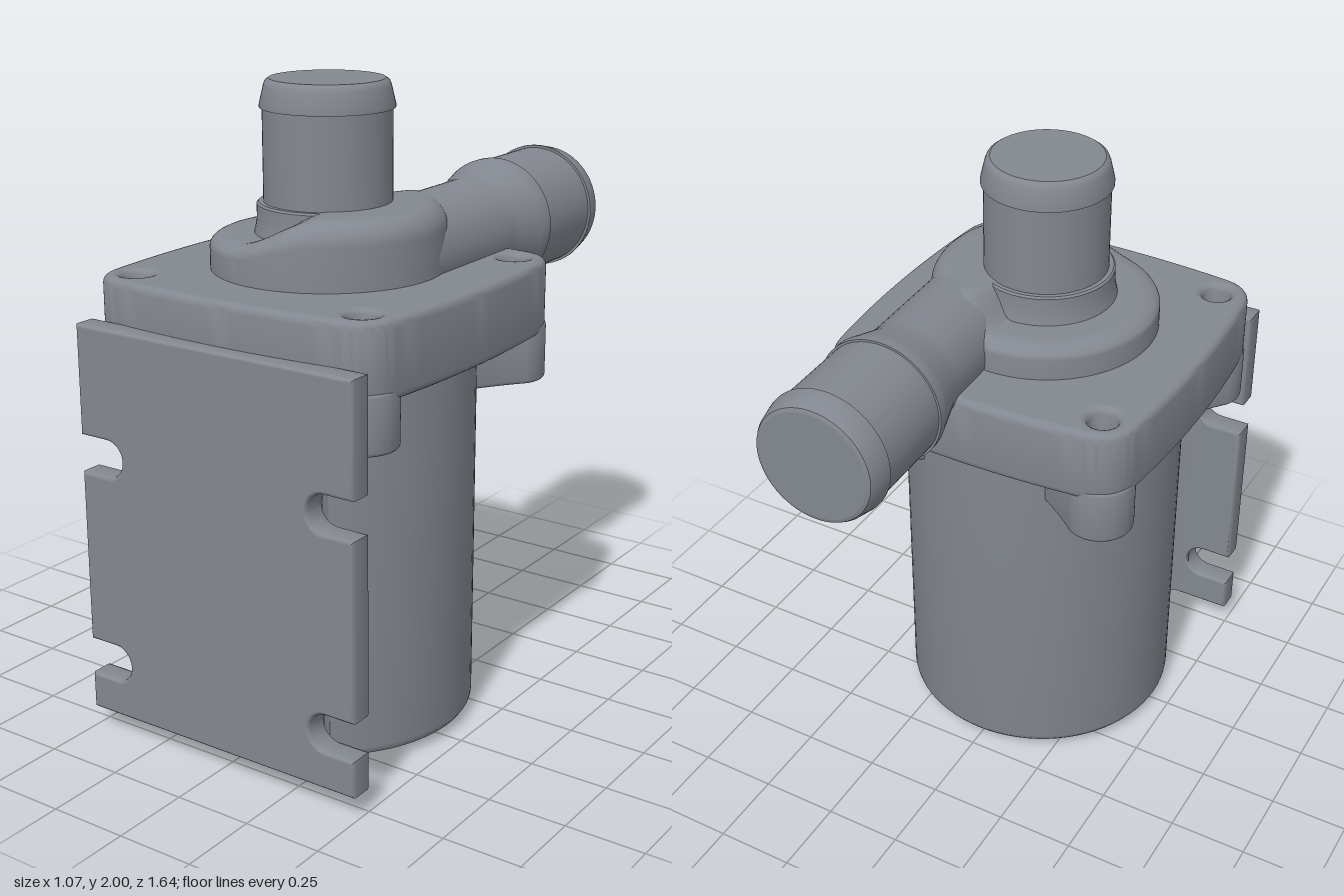
import * as THREE from 'three';
import { toCreasedNormals } from 'three/addons/utils/BufferGeometryUtils.js';

const CZ = 0.238; // z of the main vertical axis
const BOLT = 0.405; // bolt offset from the axis in x and z
const material = new THREE.MeshStandardMaterial({ color: 0x83878f });

function part(name, geometry, x = 0, y = 0, z = 0) {
  const mesh = new THREE.Mesh(geometry, material);
  mesh.name = name;
  mesh.position.set(x, y, z);
  return mesh;
}

// Smooth rounded edges, but keep faces square to the given axis (1 = y, 2 = z) evenly flat
function finish(source, axis) {
  const geometry = toCreasedNormals(source, 0.6);
  const p = geometry.attributes.position, n = geometry.attributes.normal;
  for (let i = 0; i < p.count; i += 3) {
    const h = [0, 1, 2].map((k) => p.getComponent(i + k, axis));
    if (Math.abs(h[0] - h[1]) + Math.abs(h[0] - h[2]) > 1e-6) continue;
    const sign = Math.sign([0, 1, 2].reduce((sum, k) => sum + n.getComponent(i + k, axis), 0));
    for (let k = 0; k < 3; k++) {
      n.setXYZ(i + k, 0, 0, 0);
      n.setComponent(i + k, axis, sign);
    }
  }
  return geometry;
}

// Surface of revolution from [radius, height] pairs
function lathe(pairs, segments = 64, start = 0) {
  return finish(new THREE.LatheGeometry(pairs.map(([r, y]) => new THREE.Vector2(r, y)), segments, start), 1);
}

// Extrusion that keeps the outline size at mid height; the bevel cuts inward
function slab(shape, depth, bevel, segments = 4) {
  const geometry = new THREE.ExtrudeGeometry(shape, {
    depth: depth - 2 * bevel, curveSegments: 16, bevelEnabled: bevel > 0,
    bevelSize: bevel, bevelThickness: bevel, bevelOffset: -bevel, bevelSegments: segments,
  });
  return finish(geometry.translate(0, 0, bevel), 2);
}

function circlePath(x, y, r, sides = 32) {
  const points = [];
  for (let i = 0; i < sides; i++) {
    const a = (i / sides) * Math.PI * 2;
    points.push(new THREE.Vector2(x + r * Math.cos(a), y + r * Math.sin(a)));
  }
  return new THREE.Path(points);
}

// Rounded square with bulging sides and four bolt holes
function flangeGeometry() {
  const s = new THREE.Shape();
  const e = 0.51, c = 0.4, bulge = 0.555;
  s.moveTo(e, -c);
  s.quadraticCurveTo(bulge, 0, e, c);
  s.bezierCurveTo(0.5, 0.465, 0.465, 0.5, c, e);
  s.quadraticCurveTo(0, bulge, -c, e);
  s.bezierCurveTo(-0.465, 0.5, -0.5, 0.465, -e, c);
  s.quadraticCurveTo(-bulge, 0, -e, -c);
  s.bezierCurveTo(-0.5, -0.465, -0.465, -0.5, -c, -e);
  s.quadraticCurveTo(0, -bulge, c, -e);
  s.bezierCurveTo(0.465, -0.5, 0.5, -0.465, e, -c);
  for (const x of [-BOLT, BOLT]) for (const y of [-BOLT, BOLT]) s.holes.push(circlePath(x, y, 0.045));
  return slab(s, 0.235, 0.025).rotateX(-Math.PI / 2);
}

// Boss around a bolt: round outside, widening towards the body, hexagonal nut pocket
function bossGeometry() {
  const s = new THREE.Shape();
  const a = 1.3;
  s.moveTo(-0.19, -0.14);
  s.quadraticCurveTo(-0.08, -0.11, 0.105 * Math.cos(a), -0.105 * Math.sin(a));
  s.absarc(0, 0, 0.105, -a, a, false);
  s.quadraticCurveTo(-0.08, 0.11, -0.19, 0.14);
  s.closePath();
  s.holes.push(circlePath(0, 0, 0.062, 6));
  return slab(s, 0.18, 0.012, 3).rotateX(-Math.PI / 2);
}

// Front mounting plate with two open slots on each side
function plateGeometry() {
  const s = new THREE.Shape();
  const w = 0.495, r = 0.058, tip = 0.337, slots = [0.245, 0.91];
  s.moveTo(-w, 0.07);
  s.lineTo(w, 0.07);
  for (const y of slots) {
    s.lineTo(w, y - r);
    s.absarc(tip + r, y, r, -Math.PI / 2, Math.PI / 2, true);
    s.lineTo(w, y + r);
  }
  s.lineTo(w, 1.31);
  s.lineTo(-w, 1.31);
  for (const y of [...slots].reverse()) {
    s.lineTo(-w, y + r);
    s.absarc(-tip - r, y, r, Math.PI / 2, -Math.PI / 2, true);
    s.lineTo(-w, y - r);
  }
  s.closePath();
  return slab(s, 0.08, 0.01, 3);
}

// Web between plate and body, flaring into the plate with concave sides
function padGeometry() {
  const s = new THREE.Shape();
  s.moveTo(-0.34, -0.745);
  s.lineTo(0.34, -0.745);
  s.quadraticCurveTo(0.2, -0.72, 0.27, -0.58);
  s.lineTo(-0.27, -0.58);
  s.quadraticCurveTo(-0.2, -0.72, -0.34, -0.745);
  return slab(s, 1.15, 0).rotateX(-Math.PI / 2);
}

// Spiral casing: a low round cap whose height varies around the axis
function voluteGeometry() {
  const profile = [[0.355, 0]];
  for (let i = 0; i <= 8; i++) {
    const a = (i / 8) * Math.PI / 2;
    profile.push([0.285 + 0.07 * Math.cos(a), 0.14 + 0.07 * Math.sin(a)]);
  }
  profile.push([0.15, 0.21], [0, 0.21]);
  const geometry = lathe(profile, 96, Math.PI);
  const p = geometry.attributes.position;
  for (let i = 0; i < p.count; i++) {
    const angle = Math.atan2(p.getX(i), p.getZ(i));
    const rise = THREE.MathUtils.smoothstep(angle, -0.4, 0.6) * (1 - THREE.MathUtils.smoothstep(angle, 2.7, 3.13));
    p.setY(i, p.getY(i) * (0.55 + 0.45 * rise));
  }
  return finish(geometry, 1);
}

export function createModel() {
  const model = new THREE.Group();
  model.name = 'pump';

  // Motor body with rounded foot and a round recess underneath
  model.add(part('motorBody', lathe([
    [0, 0.08], [0.14, 0.08], [0.14, 0.035], [0.145, 0.028], [0.43, 0.028],
    [0.441, 0.032], [0.448, 0.042], [0.45, 0.055], [0.45, 1.25], [0, 1.25],
  ], 80), 0, 0, CZ));

  // Small domed boss with a hexagonal socket under the body
  model.add(part('bottomBoss', lathe([
    [0.05, 0.04], [0.05, 0.005], [0.056, 0], [0.095, 0], [0.11, 0.01], [0.122, 0.04],
  ], 40), 0, 0, 0.56));
  model.add(part('bottomSocket', lathe([[0, 0.026], [0.056, 0.026]], 6), 0, 0, 0.56));

  // Mounting plate and the web joining it to the body
  model.add(part('mountingPlate', plateGeometry(), 0, 0, 0.74));
  model.add(part('mountingPad', padGeometry(), 0, 0.08, 0));

  // Flange with four bolt bosses
  model.add(part('flange', flangeGeometry(), 0, 1.205, CZ));
  for (const sx of [-1, 1]) for (const sz of [-1, 1]) {
    const boss = part('boltBoss', bossGeometry(), sx * BOLT, 1.06, CZ + sz * BOLT);
    boss.rotation.y = Math.atan2(-sz, sx);
    model.add(boss);
  }

  // Spiral casing and collar around the inlet
  model.add(part('volute', voluteGeometry(), 0, 1.43, CZ));
  model.add(part('inletCollar', lathe([
    [0.232, 1.5], [0.218, 1.56], [0.213, 1.59], [0.213, 1.632], [0.207, 1.638], [0, 1.638],
  ]), 0, 0, CZ));

  // Vertical inlet with barbed end
  model.add(part('inletPipe', lathe([
    [0.193, 1.55], [0.193, 1.915], [0.201, 1.915], [0.201, 1.925], [0.188, 1.98],
    [0.183, 1.992], [0.172, 2], [0, 2],
  ]), 0, 0, CZ));

  // Horizontal outlet, widening to a barbed end
  const outlet = part('outletPipe', lathe([
    [0, 0], [0.163, 0], [0.163, 0.52], [0.168, 0.555], [0.195, 0.645], [0.202, 0.67], [0.202, 0.695], [0.195, 0.695],
    [0.195, 0.975], [0.203, 0.975], [0.203, 0.985], [0.191, 1.04], [0.185, 1.051], [0.173, 1.056], [0, 1.056],
  ]).rotateX(-Math.PI / 2), 0.187, 1.477, 0.24);
  outlet.rotation.y = 0.025;
  model.add(outlet);

  return model;
}
